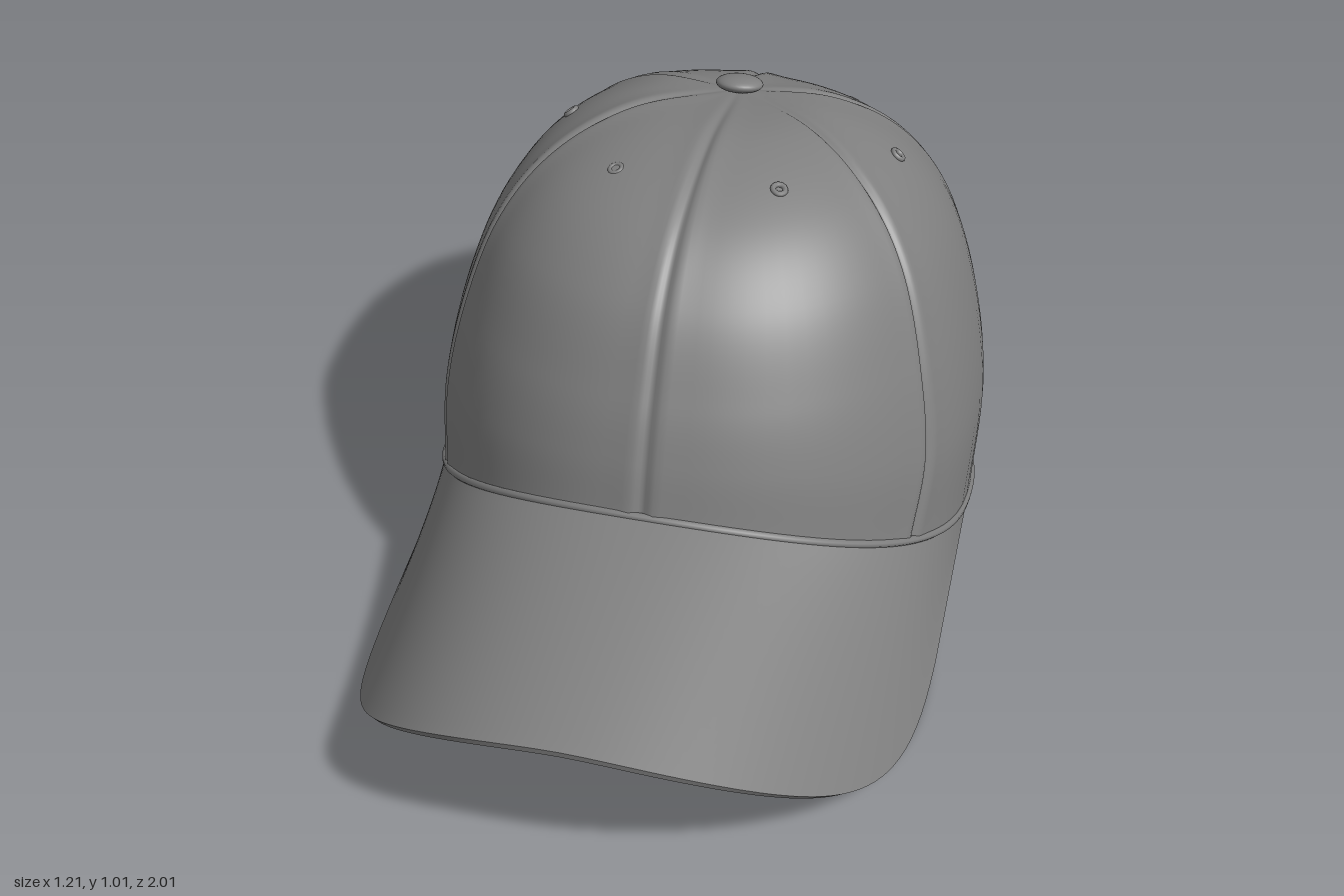
import * as THREE from 'three';
import { mergeVertices, toCreasedNormals } from 'three/addons/utils/BufferGeometryUtils.js';

const V = (x, y, z) => new THREE.Vector3(x, y, z);
const rad = THREE.MathUtils.degToRad;
const spow = (a, e) => Math.sign(a) * Math.pow(Math.abs(a), e);

// Crown meridians from button to rim: front and back (z, y), side (x, y)
const meridian = (pts) => new THREE.CatmullRomCurve3(pts.map(([a, y]) => V(a, y, 0)), false, 'catmullrom', 0.5);
const frontLine = meridian([[-0.48, 0.985], [-0.2, 1.027], [0.035, 0.98], [0.195, 0.87], [0.3, 0.71], [0.355, 0.59], [0.39, 0.48]]);
const sideLine = meridian([[0, 0.985], [0.2, 0.985], [0.36, 0.915], [0.475, 0.785], [0.55, 0.6], [0.597, 0.36], [0.595, 0.13]]);
const backLine = meridian([[-0.48, 0.985], [-0.65, 0.925], [-0.82, 0.8], [-0.935, 0.65], [-0.993, 0.48], [-0.99, 0.25], [-0.89, 0.03]]);

// Smooth crown surface: phi runs from the front towards +x, t from button to rim
function crownPoint(phi, t) {
  const f = frontLine.getPoint(t), s = sideLine.getPoint(t), b = backLine.getPoint(t);
  const c = Math.cos(phi);
  return V(
    s.x * spow(Math.sin(phi), 0.909),
    s.y + (f.y - b.y) / 2 * c + ((f.y + b.y) / 2 - s.y) * c * c,
    (f.x + b.x) / 2 + (f.x - b.x) / 2 * spow(c, 0.909));
}

function crownNormal(phi, t) {
  if (t < 0.03) return V(0, 1, -0.2).normalize();
  const e = 0.01;
  const dPhi = crownPoint(phi + e, t).sub(crownPoint(phi - e, t));
  const dT = crownPoint(phi, Math.min(1, t + e)).sub(crownPoint(phi, t - e));
  return dT.cross(dPhi).normalize();
}

// Grid surface; fn(u, v) with u, v in 0..1, front side along dV x dU
function grid(fn, nu, nv) {
  const pos = [], idx = [];
  for (let i = 0; i <= nu; i++)
    for (let j = 0; j <= nv; j++) pos.push(...fn(i / nu, j / nv).toArray());
  for (let i = 0; i < nu; i++)
    for (let j = 0; j < nv; j++) {
      const a = i * (nv + 1) + j, b = a + nv + 1;
      idx.push(a, a + 1, b, b, a + 1, b + 1);
    }
  const g = new THREE.BufferGeometry();
  g.setAttribute('position', new THREE.Float32BufferAttribute(pos, 3));
  g.setIndex(idx);
  const merged = mergeVertices(g, 1e-5);
  merged.computeVertexNormals();
  return merged;
}

// Six sewn panels: a fine groove between two soft ridges at every seam
function panelledPoint(u, v) {
  const t = v, k = Math.min(5, Math.floor(u * 6 + 1e-6));
  const raw = u * 6 - k;
  const f = raw - Math.sin(2 * Math.PI * raw) / (2 * Math.PI) * 0.85;
  const a = 12 * (1 - t);
  const seams = [0, 60 + a, 120, 180, 240, 300 - a, 360].map(rad);
  const phi = seams[k] + (seams[k + 1] - seams[k]) * f;
  const d = Math.min(f, 1 - f) * (seams[k + 1] - seams[k]) * 0.62 * Math.min(1, t * 2.2);
  const fade = Math.min(1, t * 5);
  const h = 0.006 * Math.exp(-((d / 0.04) ** 2)) - 0.011 * Math.exp(-((d / 0.011) ** 2));
  return crownPoint(phi, t).addScaledVector(crownNormal(phi, t), h * fade);
}

// Curved visor sheet: slopes down forwards and droops to the sides
const sheetY = (x, z) => 0.485 - (z - 0.39) * 0.123 - 0.8 * x * x - 1.35 * x ** 4;

function visorPoint(u, v) {
  const s = u * 2 - 1, m = Math.abs(s), sg = Math.sign(s);
  const top = v <= 0.5;
  const w = top ? v * 2 : (1 - v) * 2;
  const inner = crownPoint(rad(91) * s, 1);
  let ox, oz;
  if (m < 0.75) {
    const th = m / 0.75 * Math.PI / 2;
    ox = 0.605 * Math.pow(Math.sin(th), 0.8);
    oz = 0.2 + 0.8 * Math.pow(Math.max(0, Math.cos(th)), 0.8);
  } else {
    const q = (m - 0.75) / 0.25;
    ox = 0.605 - 0.01 * q;
    oz = 0.2 - 0.47 * q;
  }
  const x = THREE.MathUtils.lerp(inner.x, ox * sg, w);
  const z = THREE.MathUtils.lerp(inner.z, oz, w);
  const y = sheetY(x, z) + (inner.y - sheetY(inner.x, inner.z)) * (1 - w) ** 2;
  const p = V(x, y, z);
  if (!top) p.addScaledVector(V(1.6 * x + 5.4 * x ** 3, 1, 0.123).normalize(), -0.014);
  return p;
}

// Visor grid closed along its outer edge by a doubled row
function visorGeometry() {
  const n = 20, rows = 2 * n + 1;
  const g = grid((u, v) => {
    const j = Math.round(v * rows);
    return visorPoint(u, j <= n ? j / n / 2 : 0.5 + Math.max(1e-6, (j - n - 1) / n / 2));
  }, 96, rows);
  return toCreasedNormals(g, 0.9);
}

export function createModel() {
  const cap = new THREE.Group();
  cap.name = 'baseballCap';
  const cloth = new THREE.MeshStandardMaterial({ color: 0x808080, side: THREE.DoubleSide });
  cloth.name = 'greyCloth';
  const add = (name, geometry) => {
    const mesh = new THREE.Mesh(geometry, cloth);
    mesh.name = name;
    cap.add(mesh);
    return mesh;
  };

  add('crown', grid(panelledPoint, 144, 56));
  add('visor', visorGeometry());

  // Sweatband lining the inside of the rim
  add('sweatband', grid((u, v) => {
    const phi = u * Math.PI * 2, t = 0.885 + 0.115 * v;
    return crownPoint(phi, t).addScaledVector(crownNormal(phi, t), -0.014);
  }, 96, 8));

  // Rolled hem around the rim
  const rim = [];
  for (let i = 0; i < 72; i++) rim.push(crownPoint(i / 72 * Math.PI * 2, 1));
  add('rimHem', new THREE.TubeGeometry(new THREE.CatmullRomCurve3(rim, true), 144, 0.009, 8, true));

  // Covered button where the panels meet
  const button = add('topButton', new THREE.SphereGeometry(0.052, 32, 16));
  button.scale.y = 0.36;
  button.position.set(0, 0.996, -0.485);
  button.rotation.x = -0.3;

  // Stitched eyelet in the upper part of each panel
  for (const [deg, t, lift] of [[32, 0.275, 0.002], [93, 0.34, 0.002], [150, 0.355, 0.002],
    [210, 0.35, 0.002], [267, 0.34, 0.002], [328, 0.275, -0.004]]) {
    const n = crownNormal(rad(deg), t);
    const eyelet = add('eyelet', new THREE.TorusGeometry(0.013, 0.006, 8, 20));
    eyelet.position.copy(crownPoint(rad(deg), t)).addScaledVector(n, lift);
    eyelet.quaternion.setFromUnitVectors(V(0, 0, 1), n);
  }
  return cap;
}
